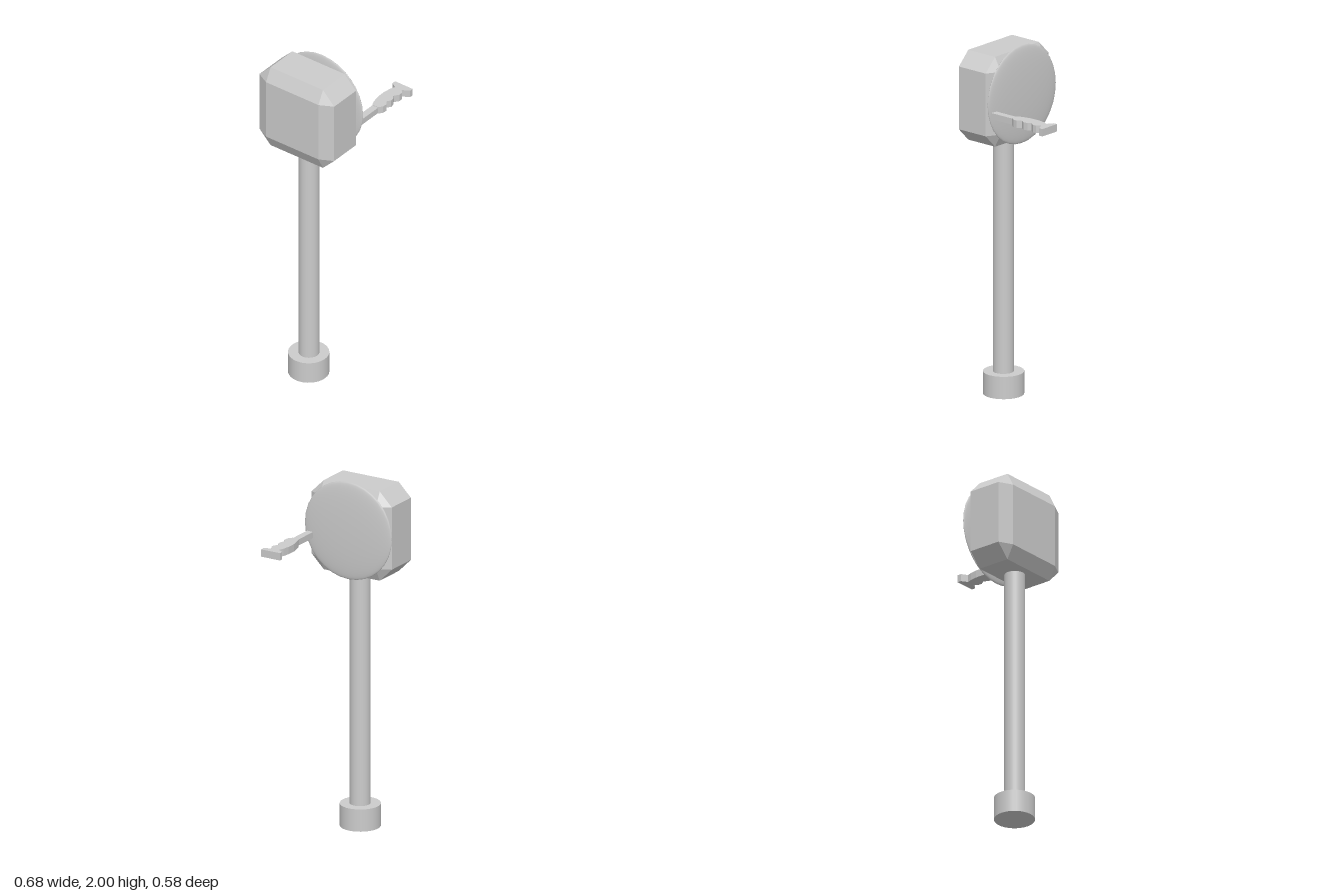
import * as THREE from 'three';
import { ConvexGeometry } from 'three/addons/geometries/ConvexGeometry.js';

const grey = new THREE.MeshStandardMaterial({ color: 0xcccccc });
const Z = -0.011; // shared centre line of pole, head and disc

function add(group, name, geometry, x, y, z) {
  const mesh = new THREE.Mesh(geometry, grey);
  mesh.name = name;
  mesh.position.set(x, y, z);
  group.add(mesh);
  return mesh;
}

// Box with every edge chamfered: inner half sizes (flat faces) and outer half sizes
function chamferedBox(inner, outer) {
  const points = [];
  for (const sx of [-1, 1]) for (const sy of [-1, 1]) for (const sz of [-1, 1]) {
    for (let axis = 0; axis < 3; axis++) {
      const p = inner.map((v, i) => (i === axis ? outer[i] : v));
      points.push(new THREE.Vector3(p[0] * sx, p[1] * sy, p[2] * sz));
    }
  }
  return new ConvexGeometry(points);
}

// Plan outline given as [x, z], extruded upward by height
function plate(outline, height) {
  const shape = new THREE.Shape(outline.map(([x, z]) => new THREE.Vector2(x, -z)));
  const geometry = new THREE.ExtrudeGeometry(shape, { depth: height, bevelEnabled: false });
  return geometry.rotateX(-Math.PI / 2);
}

export function createModel() {
  const model = new THREE.Group();
  model.name = 'signalPost';

  // Foot and pole
  add(model, 'base', new THREE.CylinderGeometry(0.112, 0.112, 0.127, 32), -0.2, 0.0635, Z + 0.004);
  add(model, 'pole', new THREE.CylinderGeometry(0.057, 0.057, 1.4, 32), -0.2, 0.8, Z + 0.006);

  // Chamfered head
  add(model, 'head', chamferedBox([0.0965, 0.178, 0.179], [0.1365, 0.255, 0.256]), -0.2035, 1.713, Z);

  // Thin lens-shaped disc on the side of the head
  const disc = new THREE.SphereGeometry(0.278, 32, 24);
  disc.rotateZ(-Math.PI / 2);
  disc.scale(0.021 / 0.278, 1, 1);
  add(model, 'disc', disc, -0.073, 1.722, Z);

  // Lever: thin stem, finger grip and flared end
  const lever = new THREE.Group();
  lever.name = 'lever';
  model.add(lever);
  add(lever, 'stem', plate([[-0.068, 0.208], [0.09, 0.208], [0.09, 0.247], [-0.068, 0.247]], 0.035), 0, 1.642, 0);
  const grip = [
    [0.085, 0.208], [0.105, 0.198], [0.135, 0.19], [0.17, 0.183], [0.225, 0.183], [0.265, 0.19],
    [0.294, 0.201], [0.316, 0.167], [0.339, 0.167], [0.339, 0.287], [0.316, 0.287], [0.294, 0.247],
    [0.273, 0.264], [0.25, 0.265], [0.225, 0.246], [0.205, 0.259], [0.18, 0.263], [0.158, 0.248],
    [0.135, 0.266], [0.108, 0.263], [0.085, 0.247],
  ];
  add(lever, 'grip', plate(grip, 0.042), 0, 1.638, 0);

  return model;
}
